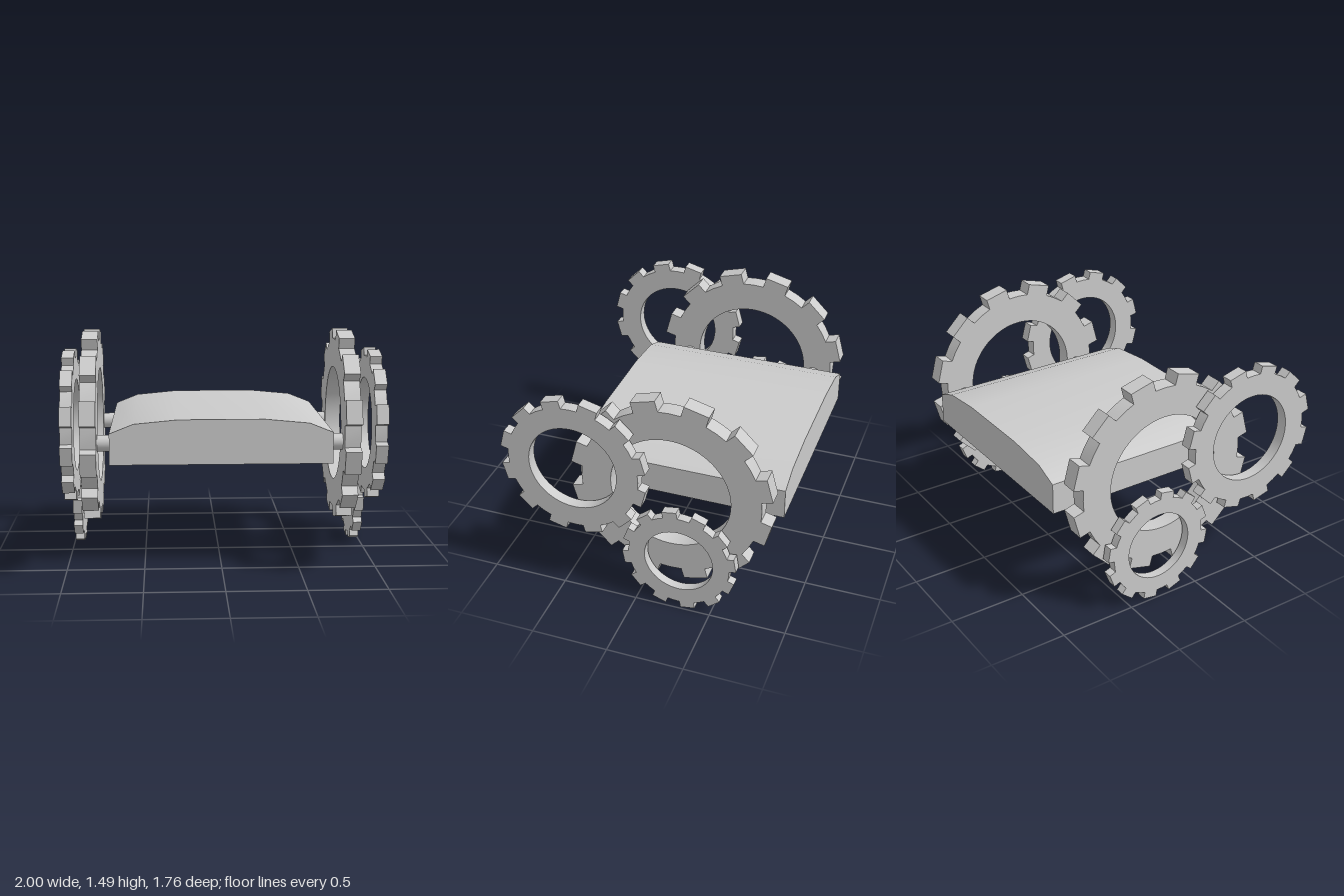
import * as THREE from 'three';
import { toCreasedNormals } from 'three/addons/utils/BufferGeometryUtils.js';

const material = new THREE.MeshStandardMaterial({ color: 0xcccccc });

function addMesh(parent, geometry, name) {
  const mesh = new THREE.Mesh(geometry, material);
  mesh.name = name;
  parent.add(mesh);
  return mesh;
}

// Flat shape pushed to a given depth, centred on its own plane
function slab(shape, depth) {
  const geometry = new THREE.ExtrudeGeometry(shape, { depth, bevelEnabled: false, curveSegments: 48 });
  geometry.translate(0, 0, -depth / 2);
  return toCreasedNormals(geometry, 0.5);
}

// Ring gear with 12 straight-sided teeth, its axis along x
function gearGeometry({ hole, rim, tip, toothHalf, width, phase }) {
  const teeth = 12;
  const shape = new THREE.Shape();
  const points = [];
  const rootAngle = Math.asin(toothHalf / rim);
  const root = rim * Math.cos(rootAngle);
  for (let i = 0; i < teeth; i++) {
    const a = THREE.MathUtils.degToRad(phase) + (i / teeth) * Math.PI * 2;
    const s = Math.sin(a), c = Math.cos(a);
    const at = (side, r) => points.push(new THREE.Vector2(r * s + side * c, r * c - side * s));
    at(-toothHalf, root);
    at(-toothHalf, tip);
    at(toothHalf, tip);
    at(toothHalf, root);
    // middle of the gap before the next tooth
    const g = a + Math.PI / teeth;
    points.push(new THREE.Vector2(rim * Math.sin(g), rim * Math.cos(g)));
  }
  shape.setFromPoints(points);
  const opening = new THREE.Path();
  opening.absarc(0, 0, hole, 0, Math.PI * 2, false);
  shape.holes.push(opening);
  return slab(shape, width).rotateY(-Math.PI / 2);
}

export function createModel() {
  const model = new THREE.Group();
  model.name = 'gearCart';

  // Platform with a gently crowned top
  const half = [[0.72, 0.685], [0.72, 0.888], [0.565, 0.95], [0.28, 0.977]];
  const outline = [
    ...half.map(([x, y]) => new THREE.Vector2(x, y)),
    ...half.slice().reverse().map(([x, y]) => new THREE.Vector2(-x, y)),
  ];
  addMesh(model, slab(new THREE.Shape(outline), 1.355), 'platform').position.z = -0.208;

  // Three gears per side: x, y, z are the centre of the left one
  const gears = [
    { name: 'MainGear', x: 0.86, y: 0.84, z: -0.21, hole: 0.39, rim: 0.585, tip: 0.652, toothHalf: 0.081, width: 0.107, phase: 15 },
    { name: 'FrontGear', x: 0.962, y: 0.94, z: 0.397, hole: 0.292, rim: 0.433, tip: 0.481, toothHalf: 0.061, width: 0.076, phase: 15 },
    { name: 'LowerGear', x: 0.957, y: 0.381, z: -0.288, hole: 0.226, rim: 0.333, tip: 0.374, toothHalf: 0.048, width: 0.06, phase: 9.3 },
  ];
  for (const [side, sign] of [['left', 1], ['right', -1]]) {
    for (const gear of gears) {
      addMesh(model, gearGeometry(gear), side + gear.name).position.set(sign * gear.x, gear.y, gear.z);
    }
    // Short axles joining the platform to the main gear
    for (const [end, z] of [['Front', 0.25], ['Rear', -0.673]]) {
      const axle = new THREE.CylinderGeometry(0.055, 0.055, 0.13, 16).rotateZ(Math.PI / 2);
      addMesh(model, axle, side + end + 'Axle').position.set(sign * 0.765, 0.79, z);
    }
  }
  return model;
}
